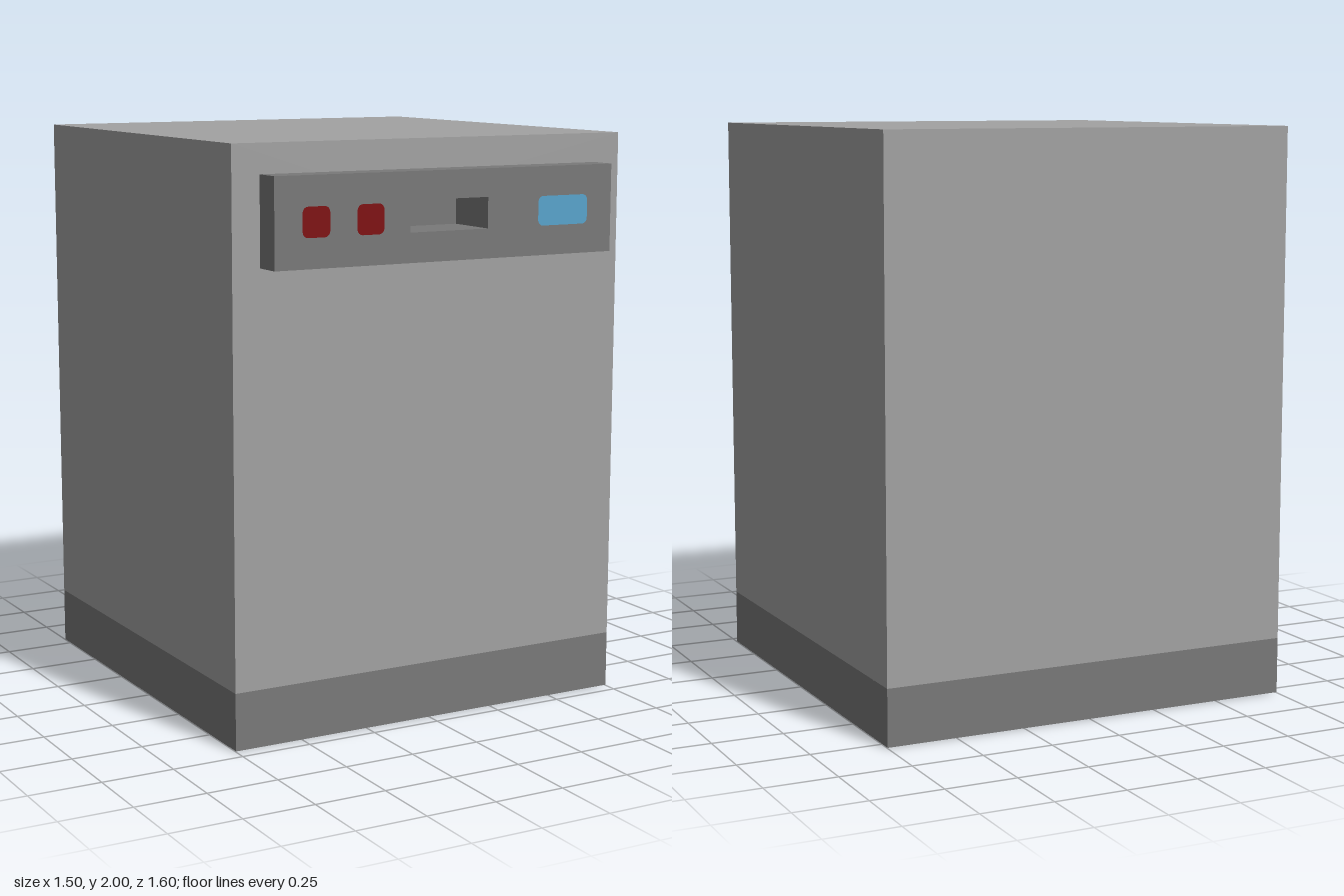
import * as THREE from 'three';

const mat = (name, color, extra = {}) => {
  const m = new THREE.MeshStandardMaterial({ color, ...extra });
  m.name = name;
  return m;
};

// Box between two corners, leaving out some sides (0..5 = +x -x +y -y +z -z)
function openBox(min, max, skip) {
  const size = max.map((v, i) => v - min[i]);
  const g = new THREE.BoxGeometry(...size);
  const kept = Array.from(g.index.array).filter((_, i) => !skip.includes(Math.floor(i / 6)));
  g.setIndex(kept);
  g.clearGroups();
  g.translate(...min.map((v, i) => v + size[i] / 2));
  return g;
}

// Rectangle outline, with optional rounded corners
function rect(x0, y0, x1, y1, r = 0, Type = THREE.Shape) {
  const s = new Type();
  if (r === 0) {
    s.moveTo(x0, y0).lineTo(x1, y0).lineTo(x1, y1).lineTo(x0, y1).closePath();
  } else {
    s.moveTo(x0 + r, y0);
    s.absarc(x1 - r, y0 + r, r, -Math.PI / 2, 0);
    s.absarc(x1 - r, y1 - r, r, 0, Math.PI / 2);
    s.absarc(x0 + r, y1 - r, r, Math.PI / 2, Math.PI);
    s.absarc(x0 + r, y0 + r, r, Math.PI, Math.PI * 1.5);
  }
  return s;
}

export function createModel() {
  const model = new THREE.Group();
  model.name = 'dishwasher';

  const grey = mat('bodyGrey', 0xa2a2a2);
  const dark = mat('darkGrey', 0x797979, { side: THREE.DoubleSide });
  const red = mat('buttonRed', 0x7f0c0e);
  const blue = mat('displayBlue', 0x58a4cd);

  const add = (name, geometry, material) => {
    const mesh = new THREE.Mesh(geometry, material);
    mesh.name = name;
    model.add(mesh);
    return mesh;
  };

  // Handle slot, cut through the panel and into the cabinet
  const slot = [-0.15, 1.7, 0.15, 1.805];
  const slottedFace = (x0, y0, x1, y1, z) => {
    const s = rect(x0, y0, x1, y1);
    s.holes.push(rect(...slot, 0, THREE.Path));
    return new THREE.ShapeGeometry(s).translate(0, 0, z);
  };

  // Cabinet and plinth
  add('cabinet', openBox([-0.75, 0.2, -0.8], [0.75, 2, 0.7], [3, 4]), grey);
  add('cabinetFront', slottedFace(-0.75, 0.2, 0.75, 2, 0.7), grey);
  add('plinth', openBox([-0.75, 0.002, -0.8], [0.75, 0.2, 0.7], [2]), dark);

  // Underside plate
  const plate = new THREE.ShapeGeometry(rect(-0.65, -0.65, 0.65, 0.65, 0.05), 4);
  add('undersidePlate', plate.rotateX(Math.PI / 2).translate(0, 0, -0.05), grey);

  // Control panel with its recessed handle
  add('panelSides', openBox([-0.65, 1.6, 0.7], [0.65, 1.9, 0.8], [4, 5]), dark);
  add('panelFront', slottedFace(-0.65, 1.6, 0.65, 1.9, 0.8), dark);
  add('handleRecess', openBox([slot[0], slot[1], 0.6], [slot[2], slot[3], 0.8], [4]), dark);

  // Buttons and display
  const decal = (name, x0, x1, material) =>
    add(name, new THREE.ShapeGeometry(rect(x0, 1.7, x1, 1.8, 0.02), 4).translate(0, 0, 0.802), material);
  decal('rightButton', -0.55, -0.45, red);
  decal('innerButton', -0.35, -0.25, red);
  decal('display', 0.35, 0.55, blue);

  return model;
}
